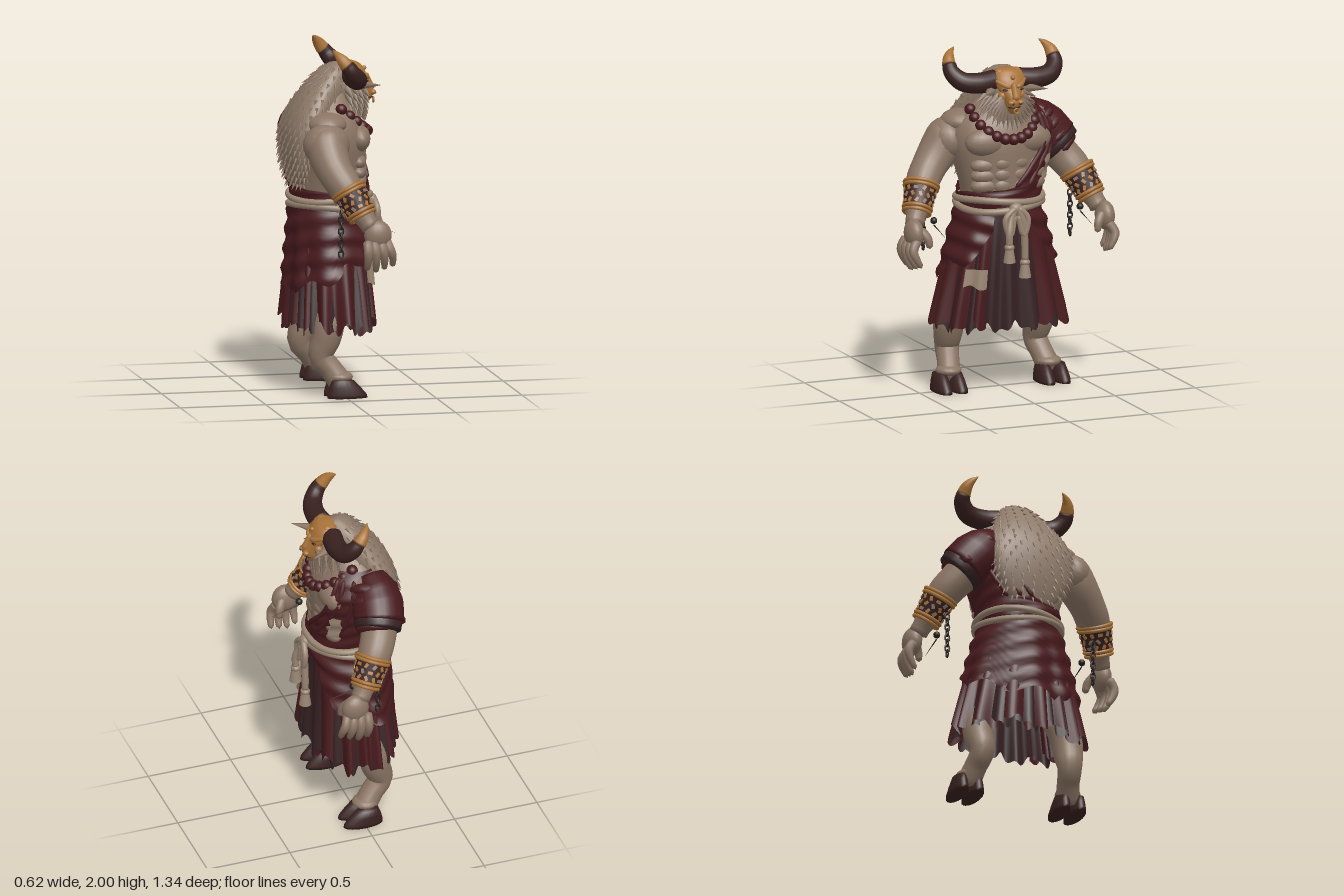
import * as THREE from 'three';
import { mergeGeometries, mergeVertices } from 'three/addons/utils/BufferGeometryUtils.js';

const V = (x, y, z) => new THREE.Vector3(x, y, z);
const { sin, cos, PI } = Math;
const mat = (name, color, side = THREE.FrontSide) => {
  const m = new THREE.MeshStandardMaterial({ color, side });
  m.name = name;
  return m;
};

// Piecewise-linear lookup in rows sorted by their first number
function lookup(rows, y) {
  let i = 0;
  while (i < rows.length - 2 && y > rows[i + 1][0]) i++;
  const a = rows[i], b = rows[i + 1];
  const t = THREE.MathUtils.clamp((y - a[0]) / (b[0] - a[0] || 1), 0, 1);
  return a.map((n, k) => n + (b[k] - n) * t);
}

// Grid surface: fn(u, v) gives a point
function grid(fn, nu, nv) {
  const pos = [], idx = [];
  for (let i = 0; i <= nv; i++) for (let j = 0; j <= nu; j++) pos.push(...fn(j / nu, i / nv));
  for (let i = 0; i < nv; i++) for (let j = 0; j < nu; j++) {
    const a = i * (nu + 1) + j, b = a + nu + 1;
    idx.push(a, b, a + 1, b, b + 1, a + 1);
  }
  const g = new THREE.BufferGeometry();
  g.setAttribute('position', new THREE.Float32BufferAttribute(pos, 3));
  g.setIndex(idx);
  const m = mergeVertices(g, 1e-5);
  m.computeVertexNormals();
  return m;
}

// Stack of ellipses, rows [y, halfWidth, zBack, zFront]; fan widens the back of each ring
const ringPoint = ([y, rx, zb, zf], th, off = 0, cx = 0, fan = 0) =>
  [cx + (rx + off) * cos(th) * (1 - fan * sin(th)), y, (zb + zf) / 2 + ((zf - zb) / 2 + off) * sin(th)];
const stack = (rows, cx = 0, n = 32, fan = 0) =>
  grid((u, v) => ringPoint(rows[Math.round(v * (rows.length - 1))], u * 2 * PI, 0, cx, fan), n, rows.length - 1);

// Tapered tube through points [x, y, z, radius], closed at both ends
function limb(pts, seg = 20, sides = 14) {
  const curve = new THREE.CatmullRomCurve3(pts.map(p => V(p[0], p[1], p[2])));
  const g = new THREE.TubeGeometry(curve, seg, 1, sides);
  const p = g.attributes.position, n = g.attributes.normal;
  for (let i = 0; i <= seg; i++) {
    const c = curve.getPointAt(i / seg), t = curve.getUtoTmapping(i / seg) * (pts.length - 1);
    const k = Math.min(Math.floor(t), pts.length - 2);
    const r = i === 0 || i === seg ? 0 : THREE.MathUtils.lerp(pts[k][3], pts[k + 1][3], t - k);
    for (let j = 0; j <= sides; j++) {
      const q = i * (sides + 1) + j;
      p.setXYZ(q, c.x + n.getX(q) * r, c.y + n.getY(q) * r, c.z + n.getZ(q) * r);
    }
  }
  g.deleteAttribute('uv');
  g.deleteAttribute('normal');
  const m = mergeVertices(g, 1e-5);
  m.computeVertexNormals();
  return m;
}

const ball = (x, y, z, rx, ry = rx, rz = rx) =>
  new THREE.SphereGeometry(1, 18, 12).scale(rx, ry, rz).translate(x, y, z).deleteAttribute('uv');
// Cone with its base near p, pointing along d
function spike(p, d, len, r, flat = 1) {
  const q = new THREE.Quaternion().setFromUnitVectors(V(0, 1, 0), d.clone().normalize());
  return new THREE.ConeGeometry(r, len, 6).scale(1, 1, flat).translate(0, len * 0.4, 0).applyQuaternion(q).translate(p.x, p.y, p.z);
}

export function createModel() {
  const skin = mat('skin', 0x8b7564), fur = mat('fur', 0x8e7a69), gold = mat('gold', 0xa87238);
  const maroon = mat('maroon cloth', 0x481a1d, THREE.DoubleSide), plum = mat('plum cloth', 0x362123, THREE.DoubleSide);
  const horn = mat('horn', 0x38211f), rope = mat('rope', 0x988471, THREE.DoubleSide);
  const bead = mat('bead', 0x48191b), iron = mat('iron', 0x28201e);
  const body = new THREE.Group();
  body.name = 'figure';
  const add = (name, geos, m) => {
    const mesh = new THREE.Mesh(Array.isArray(geos) ? mergeGeometries(geos) : geos, m);
    mesh.name = name;
    body.add(mesh);
  };

  // Torso with chest and belly muscles
  const torso = [[0.98, 0.2, -0.2, 0.16], [1.1, 0.215, -0.22, 0.18], [1.2, 0.23, -0.23, 0.185], [1.3, 0.26, -0.24, 0.185],
    [1.4, 0.285, -0.25, 0.19], [1.5, 0.3, -0.25, 0.185], [1.58, 0.26, -0.23, 0.15], [1.66, 0.17, -0.18, 0.11], [1.76, 0.09, -0.1, 0.08]];
  add('torso', stack(torso), skin);
  const muscles = [];
  for (const s of [-1, 1]) {
    muscles.push(ball(s * 0.125, 1.465, 0.115, 0.14, 0.085, 0.075));
    muscles.push(ball(s * 0.2, 1.56, -0.08, 0.13, 0.07, 0.12));
    for (let i = 0; i < 3; i++) {
      muscles.push(ball(s * 0.046, 1.34 - i * 0.065, 0.155, 0.062, 0.044, 0.034));
      muscles.push(ball(s * 0.13, 1.33 - i * 0.06, 0.11, 0.1, 0.05, 0.055));
    }
  }
  add('muscles', muscles, skin);

  // Mane over the hump, with rows of short hair points
  const mane = [[1.15, 0.05, -0.23, -0.16], [1.22, 0.15, -0.26, -0.12], [1.34, 0.215, -0.29, -0.1], [1.48, 0.24, -0.295, -0.06],
    [1.56, 0.235, -0.275, 0], [1.64, 0.205, -0.24, 0.05], [1.71, 0.165, -0.195, 0.09], [1.78, 0.13, -0.135, 0.12], [1.84, 0.095, -0.08, 0.13], [1.88, 0.05, -0.02, 0.1], [1.89, 0, 0.03, 0.03]];
  add('mane', stack(mane, 0, 40, 0.36), fur);
  const hairs = [];
  for (let i = 0; i < 17; i++) {
    const y = 1.2 + i * 0.041, row = lookup(mane, y), n = Math.round(6 + row[1] * 38);
    for (let j = 0; j <= n; j++) {
      const th = PI * (0.9 + 1.2 * (j + (i % 2) / 2) / (n + 0.5));
      const d = V(cos(th) * 0.4, y > 1.75 ? -0.25 : -0.8, sin(th) * 0.4 - 0.1);
      hairs.push(spike(V(...ringPoint(row, th, 0, 0, 0.36)), d, 0.046, 0.009));
    }
  }
  add('maneHair', hairs, fur);

  // Head fur and beard
  add('head', ball(0, 1.74, 0.07, 0.115, 0.14, 0.1), fur);
  const tufts = [];
  for (let layer = 0; layer < 4; layer++) for (let j = -7; j <= 7; j++) {
    const a = (j + (layer % 2) * 0.5) * 0.28, r = 0.06 + layer * 0.019;
    tufts.push(spike(V(sin(a) * r, 1.71 - cos(a) * r, 0.17 - layer * 0.035), V(sin(a) * 0.8, -cos(a) - 0.75, 0.2), 0.11 + 0.025 * cos(a), 0.026, 0.7));
  }
  add('beard', tufts, fur);

  // Golden face mask: long flat muzzle, brows, cheeks and nose ring
  const mask = [stack([[1.632, 0, 0.15, 0.19], [1.636, 0.026, 0.13, 0.2], [1.665, 0.04, 0.11, 0.222], [1.7, 0.05, 0.1, 0.245], [1.73, 0.048, 0.1, 0.238],
    [1.765, 0.068, 0.08, 0.215], [1.8, 0.09, 0.07, 0.2], [1.84, 0.098, 0.05, 0.186], [1.87, 0.085, 0.04, 0.165], [1.885, 0.05, 0.06, 0.14], [1.888, 0, 0.1, 0.1]]),
    new THREE.TorusGeometry(0.014, 0.005, 6, 16).translate(0, 1.66, 0.24).deleteAttribute('uv'), ball(0, 1.845, 0.185, 0.014),
    limb([[0, 1.82, 0.19, 0.016], [0, 1.76, 0.215, 0.018], [0, 1.715, 0.238, 0.022]], 8, 8)];
  for (const s of [-1, 1]) mask.push(limb([[s * 0.012, 1.79, 0.206, 0.012], [s * 0.05, 1.802, 0.185, 0.016], [s * 0.095, 1.83, 0.14, 0.01]], 8, 8),
    ball(s * 0.055, 1.738, 0.165, 0.026, 0.026, 0.025), ball(s * 0.028, 1.708, 0.232, 0.02, 0.015, 0.018), ball(s * 0.05, 1.868, 0.11, 0.03, 0.02, 0.03));
  add('mask', mask, gold);
  add('mouth', ball(0, 1.678, 0.206, 0.037, 0.009, 0.028), iron);

  // Necklace
  const beads = [];
  for (let i = -6; i <= 6; i++) {
    const a = i * PI / 12;
    beads.push(ball(sin(a) * 0.19, 1.64 - 0.155 * cos(a), 0.01 + 0.19 * cos(a), 0.033));
  }
  add('necklace', beads, bead);

  for (const s of [-1, 1]) {
    const side = s < 0 ? 'right' : 'left';
    const at = rows => rows.map(([x, ...r]) => [s * x, ...r]);
    add(side + 'Eye', ball(s * 0.045, 1.776, 0.19, 0.02, 0.007, 0.012), iron);
    add(side + 'Nostril', ball(s * 0.024, 1.703, 0.247, 0.009, 0.006, 0.005), iron);
    add(side + 'Ear', spike(V(s * 0.115, 1.765, 0.13), V(s * 0.085, 0.01, 0.125), 0.155, 0.033), fur);

    // Horns with golden tips
    add(side + 'Horn', limb(at([[0.06, 1.82, 0.09, 0.06], [0.17, 1.81, 0.1, 0.06], [0.27, 1.825, 0.085, 0.056], [0.32, 1.875, 0.045, 0.047], [0.322, 1.925, 0.01, 0.038]]), 28, 18), horn);
    add(side + 'HornTip', limb(at([[0.325, 1.905, 0.02, 0.042], [0.315, 1.945, -0.01, 0.034], [0.293, 1.975, -0.035, 0.02], [0.262, 2, -0.055, 0.002]]), 14), gold);

    // Arm, hand and fingers
    add(side + 'Shoulder', ball(s * 0.295, 1.455, -0.1, 0.108, 0.125, 0.135), skin);
    add(side + 'Arm', limb(at([[0.24, 1.52, -0.09, 0.08], [0.29, 1.47, -0.1, 0.118], [0.345, 1.39, -0.095, 0.114], [0.41, 1.31, -0.07, 0.102],
      [0.465, 1.24, -0.03, 0.098], [0.515, 1.14, 0.03, 0.08], [0.56, 1.05, 0.08, 0.055], [0.58, 1, 0.11, 0.055]]), 30, 20), skin);
    const hand = [ball(s * 0.594, 0.975, 0.135, 0.054, 0.085, 0.08).toNonIndexed(),
      limb(at([[0.57, 1, 0.16, 0.03], [0.532, 0.95, 0.19, 0.026], [0.52, 0.89, 0.2, 0.017]]), 10, 10).toNonIndexed()];
    for (let i = 0; i < 4; i++) {
      const z = 0.07 + i * 0.037, low = 0.015 * Math.abs(i - 1), x = 0.608 - i * 0.006;
      hand.push(limb(at([[x, 0.95, z, 0.028], [x + 0.036, 0.885, z + 0.008 * i, 0.027], [x + 0.026, 0.82 + low, z + 0.012 * i, 0.023], [x - 0.008, 0.757 + low, z + 0.014 * i, 0.015]]), 12, 10).toNonIndexed());
    }
    add(side + 'Hand', hand, skin);

    // Bracer: dark sleeve, golden rims and rows of plates
    const bracer = new THREE.Group();
    bracer.name = side + 'Bracer';
    const part = (name, g, m) => { const q = new THREE.Mesh(g, m); q.name = name; bracer.add(q); };
    part('bracerBand', new THREE.CylinderGeometry(0.098, 0.078, 0.16, 24), plum);
    for (const [y, r] of [[0.085, 0.098], [0.065, 0.095], [-0.085, 0.076], [-0.062, 0.08]])
      part('bracerRim', new THREE.TorusGeometry(r, 0.011, 8, 28).rotateX(PI / 2).translate(0, y, 0), gold);
    for (let i = 0; i < 36; i++) {
      const y = (i % 3) * 0.036 - 0.036;
      part('bracerPlate', new THREE.BoxGeometry(0.028, 0.018, 0.008).rotateZ(i % 5 - 2).translate(0, y, 0.088 + y * 0.12).rotateY(i * PI / 18), i % 4 ? gold : skin);
    }
    bracer.position.set(s * 0.513, 1.15, 0.022);
    bracer.quaternion.setFromUnitVectors(V(0, 1, 0), V(s * -0.085, 0.2, -0.1).normalize());
    body.add(bracer);

    // Hanging chain and pin
    const links = [];
    for (let i = 0; i < 8; i++)
      links.push(new THREE.TorusGeometry(0.014, 0.005, 6, 12).scale(1, 1.5, 1).rotateY(i % 2 * PI / 2).translate(s * 0.457, 1.08 - i * 0.033, -0.05));
    add(side + 'Chain', links, iron);
    add(side + 'Pin', spike(V(s * 0.455, 1, 0.12), V(0, -0.25, 1), 0.18, 0.004), iron);
    add(side + 'PinLock', ball(s * 0.455, 1.03, 0.1, 0.02), iron);

    // Leg and cloven hoof
    add(side + 'Leg', limb(at([[0.12, 0.85, -0.02, 0.08], [0.19, 0.62, -0.04, 0.085], [0.245, 0.5, -0.07, 0.085], [0.278, 0.4, -0.085, 0.092], [0.28, 0.33, -0.1, 0.086],
      [0.275, 0.23, -0.13, 0.07], [0.29, 0.16, -0.075, 0.065], [0.31, 0.08, -0.02, 0.07], [0.315, 0.05, 0, 0.06]]), 30, 18), skin);
    add(side + 'Fetlock', ball(s * 0.31, 0.115, -0.025, 0.075, 0.035, 0.075), skin);
    for (const t of [-1, 1]) add(side + 'Hoof', stack([[0, 0, -0.01, 0.01], [0, 0.048, -0.11, 0.125], [0.02, 0.049, -0.11, 0.12],
      [0.06, 0.044, -0.1, 0.085], [0.1, 0.036, -0.085, 0.045], [0.105, 0, -0.04, 0]], s * (0.32 + t * 0.048), 18), horn);
  }

  // Draped cloth across the chest with long folds, and its shoulder sleeve
  const edge = [[1.05, PI], [1.165, PI], [1.195, 1.6], [1.37, 1], [1.64, 0.7]];
  const drapeAt = (y, th, off) => ringPoint(lookup(torso, y), th, off + 0.004 * sin(y * 70 + th * 5));
  add('drape', grid((u, v) => {
    const y = 1.05 + 0.59 * v;
    return drapeAt(y, (u * 2 - 1) * lookup(edge, y)[1], 0.026);
  }, 60, 50), maroon);
  for (const k of [-0.97, -0.8, -0.6, 0.4, 0.75, 0.97])
    add('drapeFold', limb(Array.from({ length: 7 }, (_, i) => {
      const y = 1.2 + i * 0.068;
      return [...drapeAt(y, lookup(edge, y)[1] * k, 0.024), 0.014];
    }), 24, 8), maroon);
  add('drapePatch', grid((u, v) => drapeAt(1.225 + 0.14 * v, 0.53 + 0.03 * sin(v * 9) + 0.27 * u, 0.04), 10, 20), rope);
  add('sleeve', limb([[0.18, 1.595, -0.09, 0.08], [0.25, 1.525, -0.1, 0.13], [0.305, 1.465, -0.1, 0.15], [0.36, 1.405, -0.09, 0.145], [0.385, 1.375, -0.08, 0.145]], 18, 24), maroon);
  add('sleeveTrim', limb([[0.32, 1.45, -0.09, 0.13], [0.38, 1.38, -0.08, 0.138], [0.415, 1.34, -0.065, 0.128]], 10, 24), plum);
  for (let i = 0; i < 4; i++) add('sleeveFold', limb([[0.22 + i * 0.05, 1.53 - i * 0.06, 0.05, 0.02], [0.3 + i * 0.046, 1.58 - i * 0.055, 0, 0.03],
    [0.32 + i * 0.046, 1.575 - i * 0.055, -0.12, 0.03], [0.25 + i * 0.045, 1.525 - i * 0.05, -0.24, 0.025]], 14, 8), maroon);

  // Layered, pleated skirt, open at the front to show the darker under layer
  const layer = (name, m, top, hem, off, amp, n, a0, a1, nu = 170, nv = 18) => add(name, grid((u, v) => {
    const th = a0 + (a1 - a0) * u, y = top + (hem(th) - top) * v;
    const f = THREE.MathUtils.clamp((1.06 - y) / 0.69, 0, 1), g = f ** 0.85;
    const d = off + amp * f * sin(n * th + 1.5 * sin(3 * th)) + (n < 10 ? 0.009 * sin(y * 55 + 5 * cos(th)) : 0);
    return [(0.22 + 0.17 * g + d) * cos(th), y, -0.025 + (0.2 + 0.045 * g + d) * sin(th)];
  }, nu, nv), m);
  const front = PI / 2;
  const midHem = th => 0.395 + 0.03 * sin(th * 9) + 0.02 * sin(th * 23);
  layer('underSkirt', plum, 1.08, th => 0.39 + 0.025 * sin(th * 13) + 0.015 * sin(th * 29), 0, 0.02, 17, 0, 2 * PI);
  layer('skirt', maroon, 1.08, midHem, 0.01, 0.03, 15, front + 0.46, front + 2 * PI - 0.25);
  layer('overSkirt', maroon, 1.09, th => 0.7 + 0.1 * sin(th) + 0.22 * Math.max(0, sin(th)) ** 5 + 0.03 * sin(th * 7),
    0.03, 0.02, 8, front + 0.45, front + 2 * PI + 0.05);
  layer('skirtPatch', rope, 0.735, th => 0.63 + 0.012 * sin(th * 14), 0.035, 0.015, 15, 2.06, 2.47, 16, 8);

  // Rope belt, knot, tails and tassels
  for (const [y, tilt] of [[1.075, 0.012], [1.12, -0.012]]) {
    const pts = Array.from({ length: 16 }, (_, i) => {
      const a = i * PI / 8;
      return V(0.25 * cos(a), y + tilt * sin(2 * a), -0.018 + 0.232 * sin(a));
    });
    add('ropeBelt', new THREE.TubeGeometry(new THREE.CatmullRomCurve3(pts, true), 64, 0.02, 10, true), rope);
  }
  add('knot', ball(0, 1.085, 0.23, 0.04, 0.035, 0.03), rope);
  for (const [x, y, z] of [[-0.055, 0.87, 0.265], [0.05, 0.77, 0.245]]) {
    add('ropeTail', limb([[0, 1.1, 0.235, 0.02], [x * 0.7, 1.02, 0.245, 0.021], [x, y + 0.08, z, 0.021], [x, y, z, 0.02]]), rope);
    add('ropeLoop', limb([[0, 1.1, 0.24, 0.018], [x * 1.3, 1.03, 0.25, 0.018], [x * 0.8, 0.93, 0.25, 0.018], [x * 0.2, 1.06, 0.24, 0.018]]), rope);
    add('tasselKnot', ball(x, y, z, 0.03, 0.022, 0.028), rope);
    add('tassel', new THREE.CylinderGeometry(0.023, 0.036, 0.085, 12).translate(x, y - 0.045, z), rope);
  }

  // The figure faces +x
  body.rotation.y = PI / 2;
  const model = new THREE.Group();
  model.name = 'hornedWarrior';
  model.add(body);
  return model;
}
